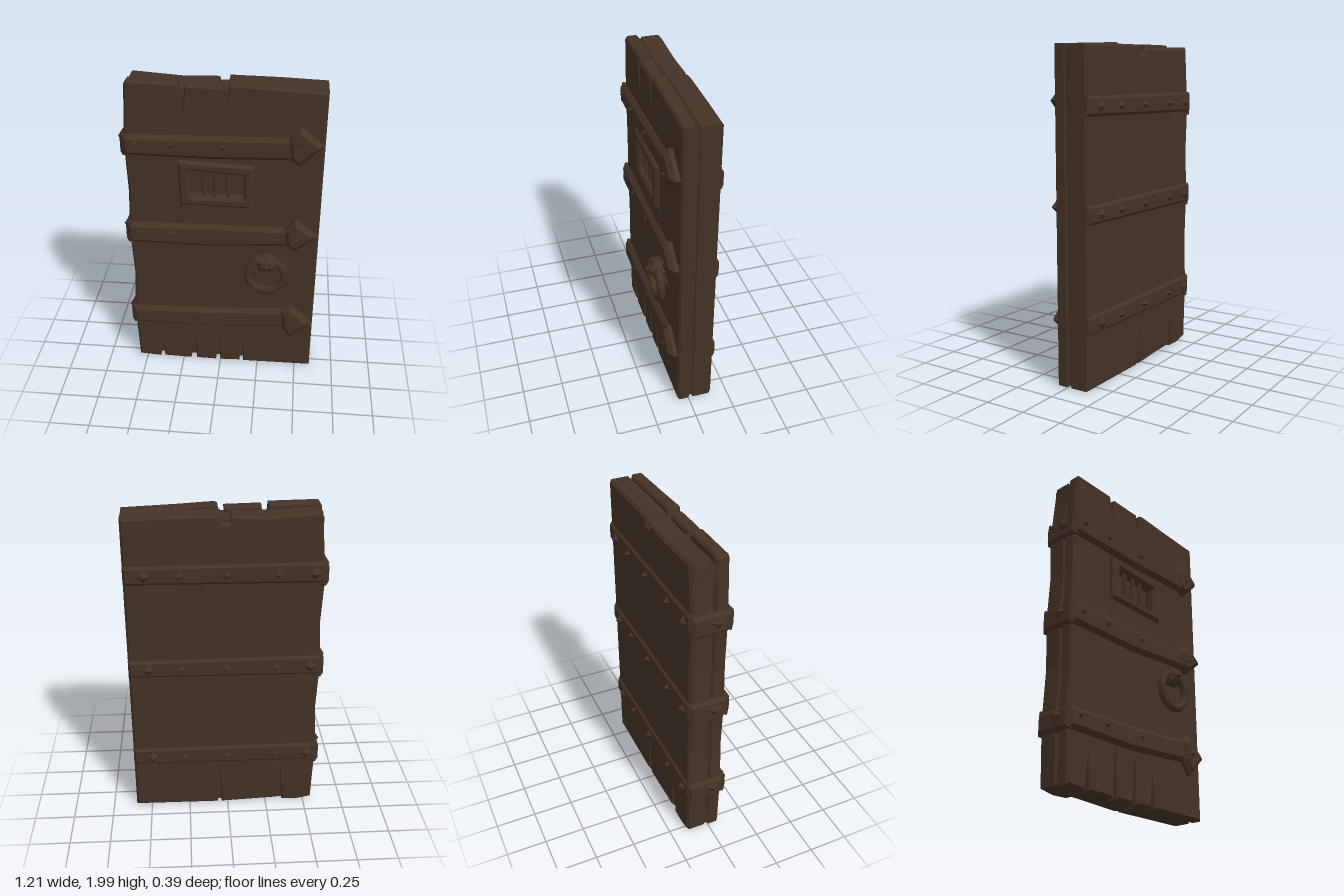
import * as THREE from 'three';

export function createModel() {
  const door = new THREE.Group();
  door.name = 'dungeonDoor';
  const brown = new THREE.MeshStandardMaterial({ color: 0x443226 });
  brown.name = 'dark brown';

  const add = (name, geo, parent = door) => {
    const m = new THREE.Mesh(geo, brown);
    m.name = name;
    parent.add(m);
    return m;
  };
  const box = (name, x0, x1, y0, y1, z0, z1, parent) => add(name,
    new THREE.BoxGeometry(x1 - x0, y1 - y0, z1 - z0)
      .translate((x0 + x1) / 2, (y0 + y1) / 2, (z0 + z1) / 2), parent);
  const outline = (pts) => pts.map(([x, y]) => new THREE.Vector2(x, y));

  // Chamfered plate with its outline in x, y and its thickness from z0 to z1
  const plate = (name, pts, z0, z1, b, holes = [], parent = door) => {
    const shape = new THREE.Shape(outline(pts));
    holes.forEach((h) => shape.holes.push(new THREE.Path(outline(h))));
    const geo = new THREE.ExtrudeGeometry(shape, {
      depth: z1 - z0 - 2 * b, bevelThickness: b, bevelSize: b, bevelOffset: -b, bevelSegments: 1,
    });
    return add(name, geo.translate(0, 0, z0 + b), parent);
  };

  // Four-sided pointed stud, pushed out along a direction
  const rivet = (x, y, z, dir, r, h, parent) => {
    const geo = new THREE.ConeGeometry(r, h, 4).toNonIndexed();
    geo.computeVertexNormals();
    const m = add('rivet', geo.translate(0, h / 2, 0), parent);
    m.quaternion.setFromUnitVectors(new THREE.Vector3(0, 1, 0), dir);
    m.position.set(x, y, z);
  };

  // Worn wood: front boards with split ends, solid core, back boards
  const opening = [[-0.18, 1.29], [0.14, 1.29], [0.14, 1.45], [-0.18, 1.47]];
  plate('frontBoards', [
    [-0.55, 0.02], [-0.41, 0.01], [-0.4, 0.22], [-0.38, 0.015], [-0.2, 0.01], [-0.18, 0.33],
    [-0.16, 0.012], [-0.03, 0.01], [-0.015, 0.29], [0, 0.01], [0.13, 0.015], [0.14, 0.26],
    [0.155, 0.012], [0.6, 0.015], [0.6, 1.97], [0.28, 1.985], [0.07, 1.998], [0.05, 1.99],
    [0.01, 1.75], [0.015, 1.98], [-0.2, 1.985], [-0.22, 1.77], [-0.24, 1.995],
    [-0.53, 2], [-0.545, 1.98], [-0.565, 1.62], [-0.555, 1.3], [-0.565, 1.0], [-0.55, 0.7], [-0.565, 0.4],
  ], -0.01, 0.07, 0.012, [opening]);
  box('core', -0.54, 0.59, 0.03, 1.95, -0.13, 0.035);
  plate('backBoards', [
    [-0.55, 0.03], [-0.46, 0.012], [-0.36, 0.015], [-0.34, 0.3], [-0.325, 0.03], [0.04, 0.012],
    [0.05, 0.28], [0.065, 0.012], [0.6, 0.015], [0.6, 1.965], [0.34, 1.975], [0.04, 1.98],
    [0.03, 1.93], [-0.01, 1.93], [-0.02, 1.97], [-0.24, 1.965], [-0.53, 1.985],
    [-0.565, 1.6], [-0.55, 1.32], [-0.565, 1.03], [-0.55, 0.72], [-0.565, 0.41],
  ], -0.15, -0.015, 0.015);

  // Straps: an arrow-tipped front, a wrap round the hinge edge and a back run
  const straps = [
    { l: [1.55, 1.68], r: [1.56, 1.7], tip: [1.53, 1.66, 1.78], mid: 1.63 },
    { l: [0.95, 1.09], r: [0.98, 1.1], tip: [0.95, 1.06, 1.17], mid: 1.03 },
    { l: [0.32, 0.45], r: [0.35, 0.49], tip: [0.27, 0.4, 0.53], mid: 0.4 },
  ];
  const X = new THREE.Vector3(-1, 0, 0);
  const Z = new THREE.Vector3(0, 0, 1);
  straps.forEach(({ l, r, tip, mid }) => {
    const strap = new THREE.Group();
    strap.name = 'strap';
    door.add(strap);
    plate('strapFront', [[-0.575, l[0]], [-0.05, l[0] - 0.005], [0.44, r[0]], [0.44, r[1]],
      [-0.05, l[1] + 0.01], [-0.575, l[1]]], 0.05, 0.105, 0.025, [], strap);
    plate('strapArrow', [[0.4, r[0] + 0.01], [0.46, tip[0]], [0.595, tip[1]],
      [0.45, tip[2]], [0.39, r[1] - 0.01]], 0.05, 0.125, 0.028, [], strap);
    plate('strapBack', [[-0.57, mid - 0.06], [0.6, mid - 0.055], [0.6, mid + 0.055],
      [-0.57, mid + 0.065]], -0.165, -0.12, 0.015, [], strap);
    plate('strapWrap', [[-0.155, l[0]], [0.09, l[0]], [0.09, l[1]], [-0.155, l[1]]],
      -0.03, 0.03, 0.018, [], strap).rotation.y = -Math.PI / 2;
    strap.children[strap.children.length - 1].position.x = -0.555;
    rivet(-0.58, mid, 0, X, 0.05, 0.03, strap);
    [-0.5, -0.29, 0.01, 0.28, 0.48].forEach((x, i) => {
      const end = i === 0 || i === 4;
      rivet(x, mid, -0.16, Z.clone().negate(), end ? 0.045 : 0.03, 0.034, strap);
      if (i !== 3) rivet(i === 4 ? 0.46 : x, mid + 0.005, i === 4 ? 0.12 : 0.1, Z, 0.025, 0.022, strap);
    });
  });

  // Barred window
  const grille = new THREE.Group();
  grille.name = 'window';
  door.add(grille);
  plate('windowFrame', [[-0.24, 1.24], [0.2, 1.23], [0.2, 1.51], [-0.25, 1.53]],
    0.06, 0.102, 0.014, [opening], grille);
  [-0.1, -0.03, 0.045].forEach((x, i) => {
    const bar = add('windowBar', new THREE.CylinderGeometry(0.014, 0.014, 0.19, 6), grille);
    bar.position.set(x, 1.375, 0.062);
    bar.rotation.z = [0.05, -0.04, 0.06][i];
  });
  // Low board below the window
  plate('windowPanel', [[-0.24, 1.06], [0.22, 1.06], [0.21, 1.25], [-0.24, 1.25]],
    0.05, 0.076, 0.006, [], grille);

  // Ring handle hanging from a pointed mount
  const handle = new THREE.Group();
  handle.name = 'handle';
  door.add(handle);
  add('handleRing', new THREE.TorusGeometry(0.115, 0.026, 7, 12), handle).position.set(0.29, 0.775, 0.122);
  plate('handleMount', [[0.24, 0.82], [0.34, 0.82], [0.36, 0.88], [0.31, 0.92], [0.23, 0.9]],
    0.06, 0.165, 0.025, [], handle);
  rivet(0.285, 0.865, 0.155, Z, 0.04, 0.038, handle);
  plate('handlePlate', [[0.25, 0.71], [0.34, 0.71], [0.38, 0.8], [0.2, 0.8]], 0.06, 0.085, 0.008, [], handle);

  return door;
}
